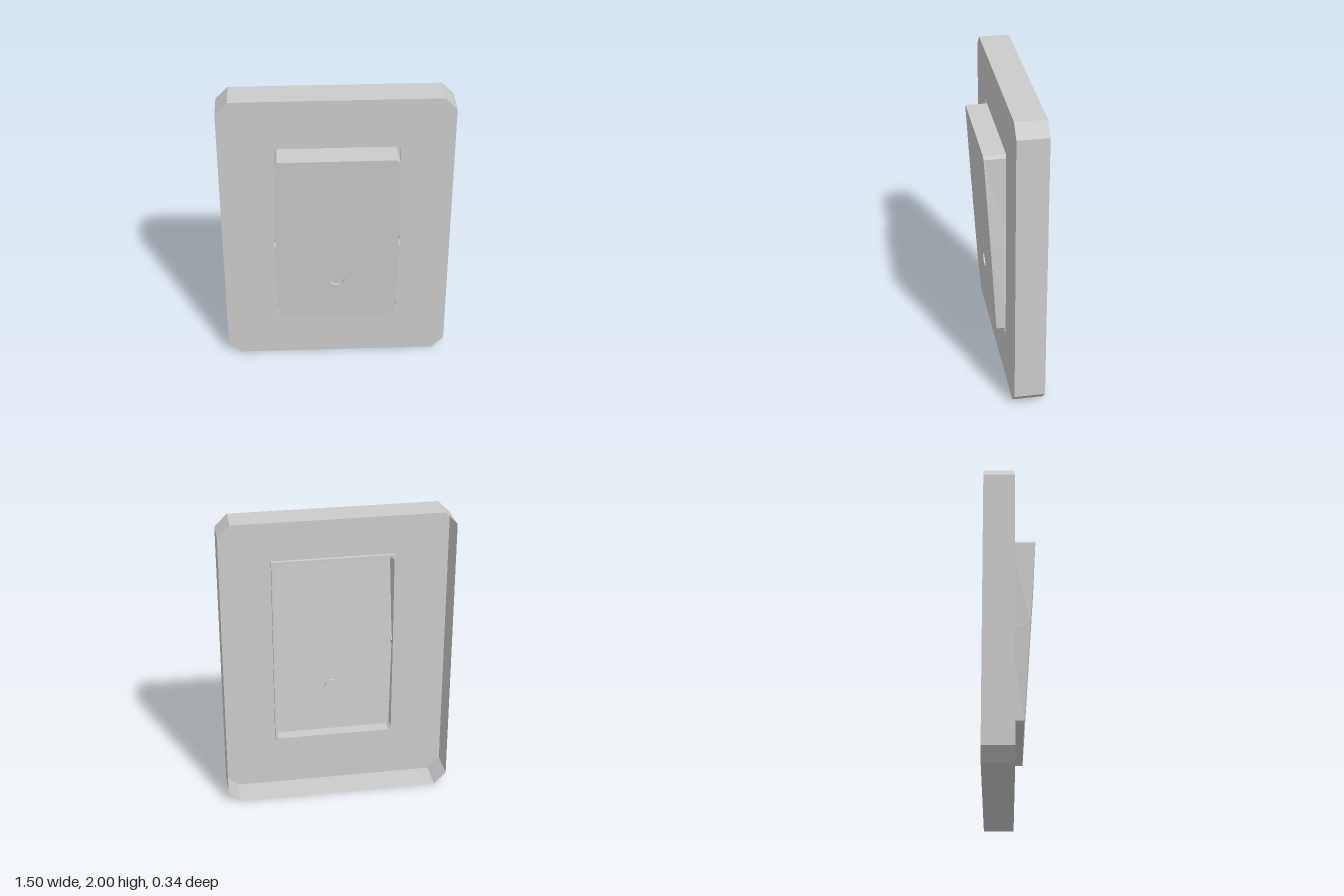
import * as THREE from 'three';

const FRONT = 0.03, BACK = -0.17, LEDGE = 0.005;
const DOT = { y: 0.68, r: 0.05, depth: 0.014 };
const material = new THREE.MeshStandardMaterial({
  color: 0xcccccc, flatShading: true, side: THREE.DoubleSide,
});

// Depth of the tilted rocker face at a given height
const tilt = (y) => 0.128 + 0.0623 * (y - 1);
const at = (points, depth) =>
  points.map(([x, y]) => new THREE.Vector3(x, y, typeof depth === 'function' ? depth(y) : depth));

function mesh(name, geometry) {
  const m = new THREE.Mesh(geometry, material);
  m.name = name;
  return m;
}

// Flat sheet with optional holes, its z set by a constant or a rule of y
function sheet(name, outline, holes, depth) {
  const toVec = (pts) => pts.map(([x, y]) => new THREE.Vector2(x, y));
  const shape = new THREE.Shape(toVec(outline));
  holes.forEach((h) => shape.holes.push(new THREE.Path(toVec(h))));
  const g = new THREE.ShapeGeometry(shape);
  const p = g.attributes.position;
  for (let i = 0; i < p.count; i++) {
    p.setZ(i, typeof depth === 'function' ? depth(p.getY(i)) : depth);
  }
  g.computeVertexNormals();
  return mesh(name, g);
}

function triangles(name, points) {
  const g = new THREE.BufferGeometry().setFromPoints(points);
  g.computeVertexNormals();
  return mesh(name, g);
}

// Wall joining two closed loops, counter-clockwise from the front
function wall(name, back, front) {
  const pts = [];
  back.forEach((a, i) => {
    const j = (i + 1) % back.length;
    pts.push(a, back[j], front[j], a, front[j], front[i]);
  });
  return triangles(name, pts);
}

// Closed outline from its +x half, listed bottom to top
const mirrored = (half) => [...half, ...half.map(([x, y, z]) => [-x, y, z]).reverse()];

export function createModel() {
  const group = new THREE.Group();

  // Cover plate: open-backed shell with clipped corners
  const plate = new THREE.Group();
  plate.name = 'coverPlate';
  const rim = mirrored([[0.67, 0], [0.75, 0.08], [0.75, 1.92], [0.67, 2]]);
  const opening = mirrored([[0.405, 0.34], [0.405, 1.66]]);
  plate.add(sheet('plateFace', rim, [opening], FRONT));
  plate.add(wall('plateSides', at(rim, BACK), at(rim, FRONT)));

  // Shallow recess around the rocker
  const base = mirrored([
    [0.375, 0.36], [0.392, 0.377], [0.393, 0.967], [0.393, 1],
    [0.393, 1.035], [0.392, 1.625], [0.375, 1.645],
  ]);
  plate.add(wall('recessSides', at(opening, LEDGE), at(opening, FRONT)));
  plate.add(sheet('recessLedge', opening, [base], LEDGE));
  group.add(plate);

  // Rocker: tilted face whose sides bulge towards the pivot notches
  const rocker = new THREE.Group();
  rocker.name = 'rocker';
  const lower = [[0.375, 0.36], [0.394, 0.377], [0.41, 0.967]];
  const upper = [[0.41, 1.035], [0.394, 1.625], [0.375, 1.645]];
  const inner = [[0.402, 0.967], [0.402, 1.035]];
  const dot = Array.from({ length: 32 }, (_, i) => {
    const a = (i / 32) * Math.PI * 2;
    return [DOT.r * Math.cos(a), DOT.y + DOT.r * Math.sin(a)];
  });
  const faceOutline = mirrored([...lower, ...inner, ...upper]);
  rocker.add(sheet('rockerFace', faceOutline, [dot], tilt));

  const notchZ = 0.097;
  const edge = mirrored([...lower, [0.407, 1, notchZ], ...upper])
    .map(([x, y, z]) => new THREE.Vector3(x, y, z ?? tilt(y)));
  rocker.add(wall('rockerSides', at(base, LEDGE), edge));

  // V-shaped pivot notches
  for (const s of [1, -1]) {
    const [a, d] = at([[s * 0.41, 0.967], [s * 0.41, 1.035]], tilt);
    const [b, c] = at(inner.map(([x, y]) => [s * x, y]), tilt);
    const v = new THREE.Vector3(s * 0.407, 1, notchZ);
    const w = new THREE.Vector3(s * 0.402, 1, notchZ);
    const pts = [a, v, w, a, w, b, v, d, c, v, c, w, b, w, c];
    rocker.add(triangles(s > 0 ? 'leftNotch' : 'rightNotch', s > 0 ? pts : pts.reverse()));
  }

  // Round indicator dimple
  const dotFloor = (y) => tilt(y) - DOT.depth;
  rocker.add(wall('dimpleSide', at(dot, dotFloor), at(dot, tilt)));
  rocker.add(sheet('dimpleFloor', dot, [], dotFloor));
  group.add(rocker);

  return group;
}
